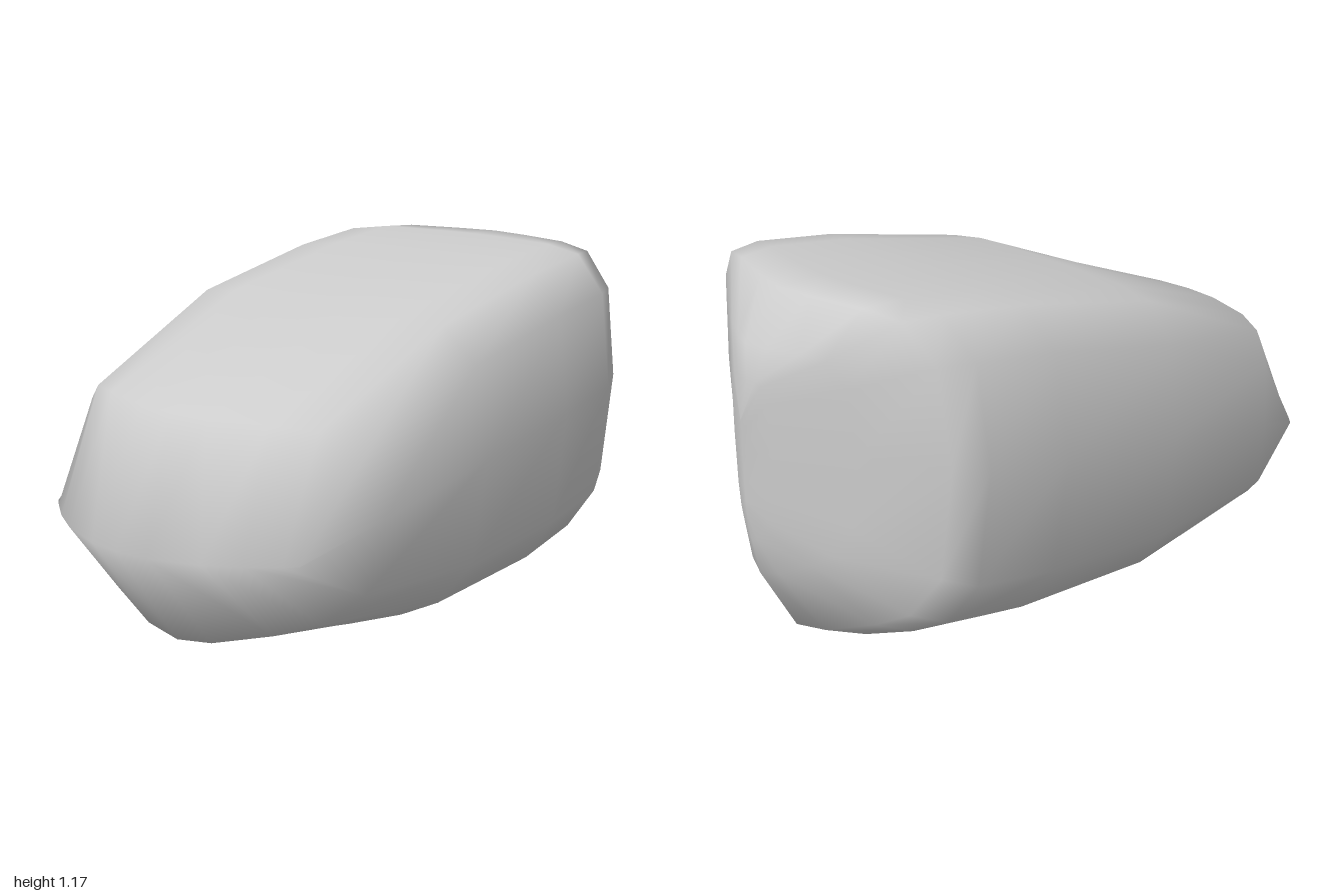
import * as THREE from 'three';
import { mergeVertices } from 'three/addons/utils/BufferGeometryUtils.js';

// Half outline of a cross-section: [share of half width, share of height]
const half = [
  [0, 1], [0.22, 1], [0.54, 1], [0.75, 0.985], [0.93, 0.885], [1, 0.62],
  [0.93, 0.3], [0.75, 0.165], [0.54, 0.1], [0.22, 0.025], [0, 0],
];
// Full loop: down the +z side, back up the mirrored side
const loop = [...half, ...half.slice(1, -1).reverse().map(([z, y]) => [-z, y])];

// Stations along x: x on the centre line, x at the flanks, half width, bottom, top, bow power
const stations = [
  [-1.0, -0.78, 0.48, 0.48, 0.48, 2],
  [-0.77, -0.54, 0.58, 0.145, 0.83, 2],
  [-0.14, -0.1, 0.625, 0.003, 1.05, 2],
  [0.42, 0.33, 0.63, 0.0, 1.14, 2],
  [0.71, 0.6, 0.62, 0.04, 1.167, 1.5],
  [0.855, 0.7, 0.58, 0.1, 1.16, 1.3],
  [0.968, 0.83, 0.33, 0.31, 1.02, 1.3],
  [0.988, 0.965, 0.1, 0.42, 0.92, 1.5],
  [1.0, 1.0, 0, 0.5, 0.8, 1],
];

export function createModel() {
  const positions = [];
  const index = [];
  const n = loop.length;

  // Each station is bowed: its flanks lie at a different x than its centre line
  for (const [xMid, xSide, w, bottom, top, power] of stations) {
    for (const [z, y] of loop) {
      const x = xMid + (xSide - xMid) * Math.abs(z) ** power;
      positions.push(x, bottom + (top - bottom) * y, z * w);
    }
  }
  // Skin between neighbouring stations; both ends close on an edge
  for (let i = 0; i < stations.length - 1; i++) {
    for (let j = 0; j < n; j++) {
      const a = i * n + j;
      const b = i * n + ((j + 1) % n);
      index.push(a, b, a + n, b, b + n, a + n);
    }
  }

  let geometry = new THREE.BufferGeometry();
  geometry.setAttribute('position', new THREE.Float32BufferAttribute(positions, 3));
  geometry.setIndex(index);
  geometry = mergeVertices(geometry, 1e-4);
  geometry.computeVertexNormals();

  const stone = new THREE.Mesh(geometry, new THREE.MeshStandardMaterial({ color: 0xcccccc }));
  stone.name = 'stone';
  const group = new THREE.Group();
  group.name = 'boulder';
  group.add(stone);
  return group;
}
